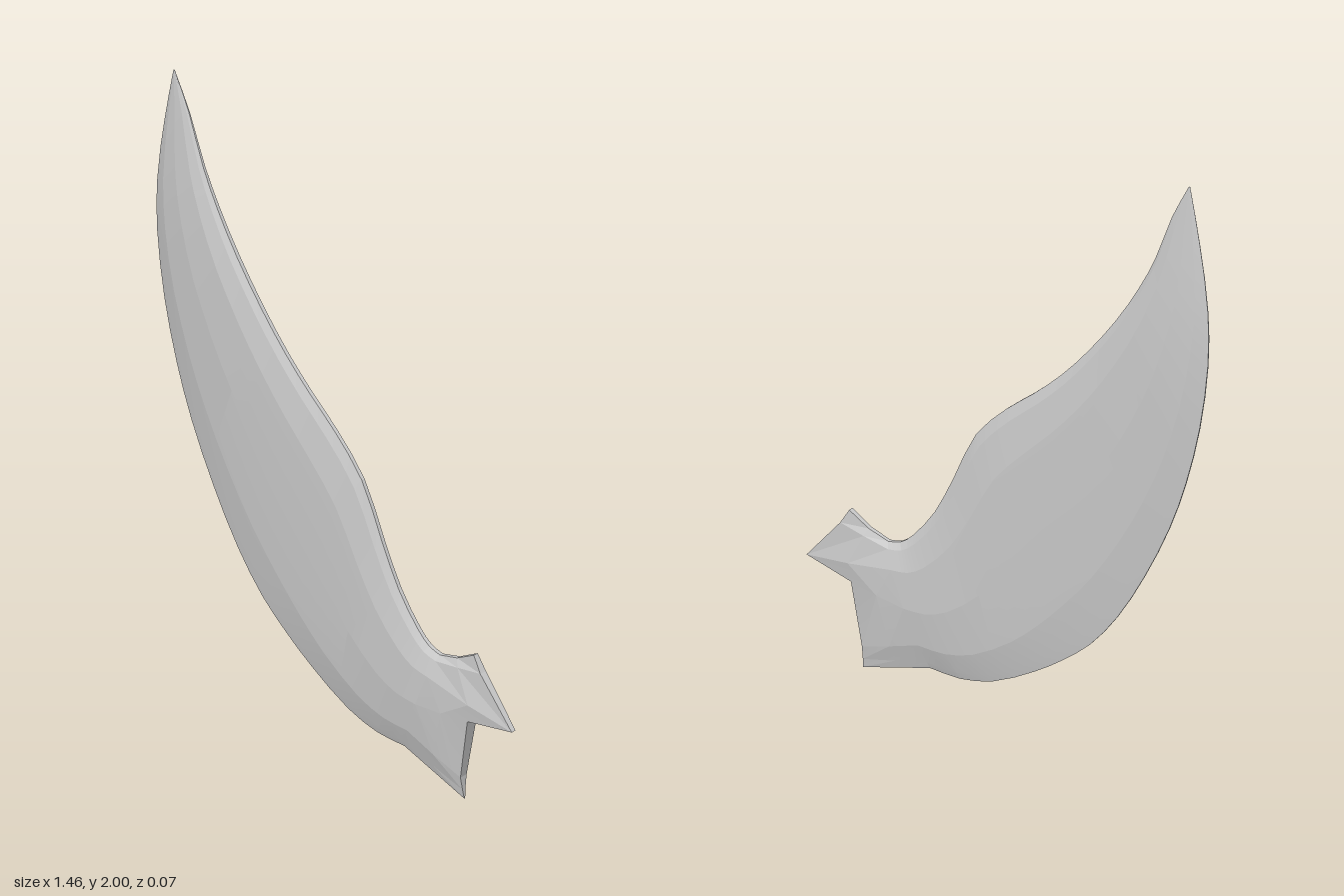
import * as THREE from 'three';
import { toCreasedNormals } from 'three/addons/utils/BufferGeometryUtils.js';

// Blade stations from tip to root: outer edge x, y, inner edge x, y, thickness scale
const STATIONS = [
  [-0.665, 2.0, -0.66, 2.0, 0.03],
  [-0.70, 1.82, -0.60, 1.88, 0.33],
  [-0.73, 1.60, -0.54, 1.72, 0.68],
  [-0.73, 1.42, -0.48, 1.60, 0.88],
  [-0.70, 1.20, -0.40, 1.47, 1],
  [-0.65, 1.00, -0.30, 1.335, 1],
  [-0.59, 0.83, -0.20, 1.22, 1],
  [-0.50, 0.64, -0.10, 1.125, 1],
  [-0.40, 0.47, 0.00, 1.04, 1],
  [-0.30, 0.345, 0.11, 0.92, 1],
  [-0.20, 0.26, 0.19, 0.75, 1],
  [-0.10, 0.19, 0.26, 0.61, 1],
  [0.05, 0.108, 0.34, 0.505, 1],
  [0.17, 0.077, 0.385, 0.467, 1],
  [0.28, 0.077, 0.43, 0.455, 1],
];

// Section across the blade: position along the width and half thickness
const ACROSS = [0, 0.05, 0.2, 0.5, 0.8, 0.95, 1];
const HALF = [0.002, 0.008, 0.023, 0.034, 0.032, 0.018, 0.006];

// Notched root, from the lower corner to the upper one
const ROOT = [[0.525, 0], [0.522, 0.03], [0.52, 0.075], [0.555, 0.285], [0.725, 0.315], [0.60, 0.465], [0.57, 0.515]];
const ROOT_HALF = [0.002, 0.006, 0.013, 0.020, 0.008, 0.012, 0.008];

function bladeRows() {
  const edge = (k) => new THREE.CatmullRomCurve3(STATIONS.map((s) => new THREE.Vector3(s[k], s[k + 1], s[4])));
  const outer = edge(0), inner = edge(2);
  const steps = (STATIONS.length - 1) * 2;
  const rows = [];
  for (let i = 0; i <= steps; i++) {
    const a = outer.getPoint(i / steps), b = inner.getPoint(i / steps);
    const scale = Math.min(1, (a.z + b.z) / 2);
    rows.push(ACROSS.map((t, j) => new THREE.Vector3().lerpVectors(a, b, t).setZ(HALF[j] * scale)));
  }
  // Flared root, with a bowed section halfway that keeps most of its thickness
  const neck = rows[rows.length - 1];
  const root = ROOT.map(([x, y], j) => new THREE.Vector3(x, y, ROOT_HALF[j]));
  const middle = neck.map((p, j) => p.clone().lerp(root[j], 0.5).setZ(p.z * 0.8 + root[j].z * 0.2));
  middle[6].y -= 0.01;
  rows.push(middle, root);
  return rows;
}

function bladeGeometry() {
  const rows = bladeRows();
  const positions = [];
  const back = (p) => new THREE.Vector3(p.x, p.y, -p.z);
  const quad = (a, b, c, d) => [a, b, c, a, c, d].forEach((p) => positions.push(p.x, p.y, p.z));
  const last = ACROSS.length - 1;
  for (let i = 0; i < rows.length - 1; i++) {
    const p = rows[i], q = rows[i + 1];
    // Front and back faces, split along the diagonal that stays inside the notch
    for (let j = 0; j < last; j++) {
      quad(q[j], q[j + 1], p[j + 1], p[j]);
      quad(back(q[j]), back(p[j]), back(p[j + 1]), back(q[j + 1]));
    }
    // Narrow rims
    quad(p[0], back(p[0]), back(q[0]), q[0]);
    quad(p[last], q[last], back(q[last]), back(p[last]));
  }
  // Tip and root ends
  const tip = rows[0], root = rows[rows.length - 1];
  for (let j = 0; j < last; j++) {
    quad(tip[j], tip[j + 1], back(tip[j + 1]), back(tip[j]));
    quad(root[j], back(root[j]), back(root[j + 1]), root[j + 1]);
  }
  const geometry = new THREE.BufferGeometry();
  geometry.setAttribute('position', new THREE.Float32BufferAttribute(positions, 3));
  return toCreasedNormals(geometry, 0.08);
}

export function createModel() {
  const lightGrey = new THREE.MeshStandardMaterial({ color: 0xcccccc });
  lightGrey.name = 'lightGrey';
  const blade = new THREE.Mesh(bladeGeometry(), lightGrey);
  blade.name = 'blade';
  const model = new THREE.Group();
  model.name = 'curvedBlade';
  model.add(blade);
  return model;
}
